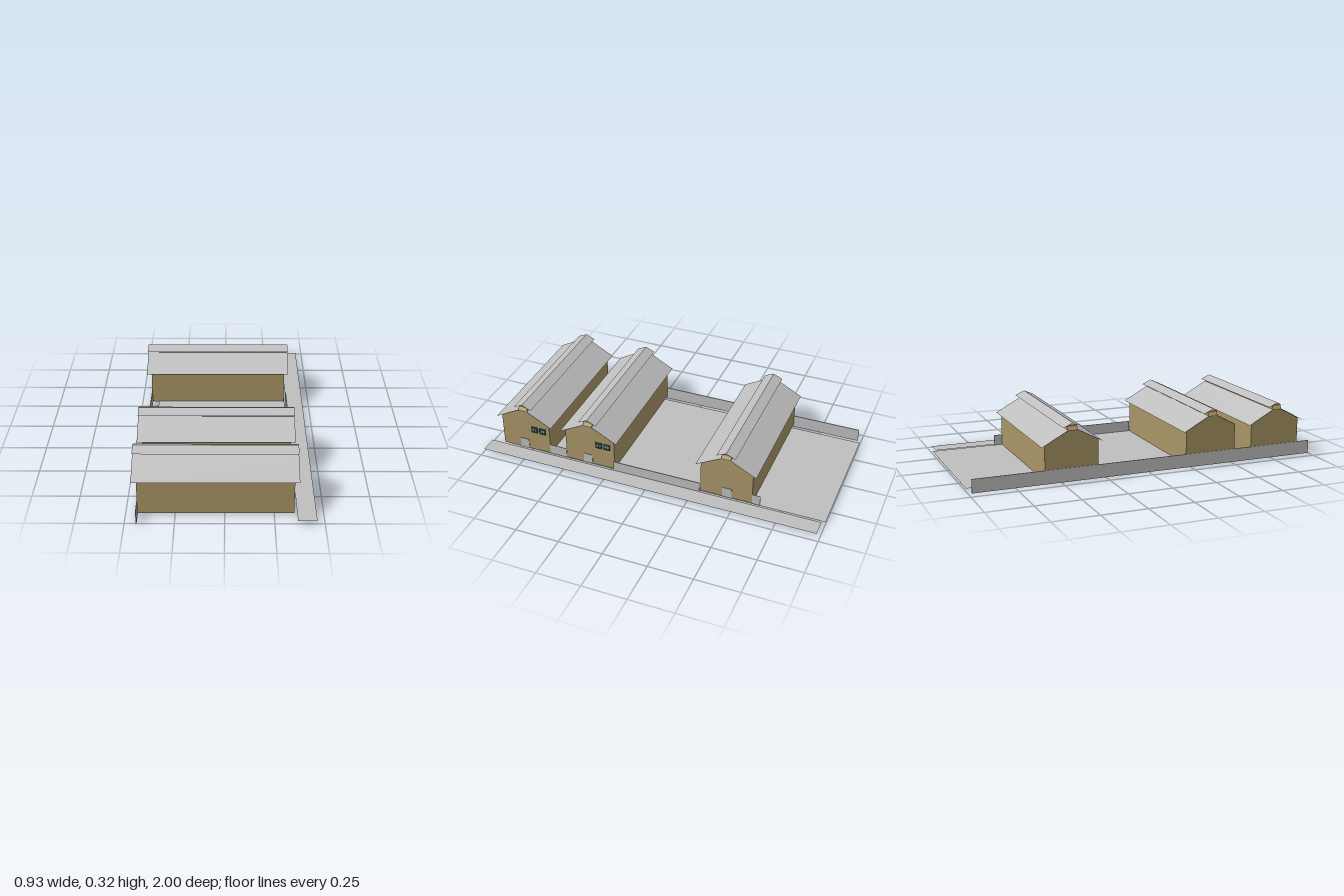
import * as THREE from 'three';

const mat = (name, color, opts = {}) => {
  const m = new THREE.MeshStandardMaterial({ color, ...opts });
  m.name = name;
  return m;
};

export function createModel() {
  const wallMat = mat('tan wall', 0xa89465);
  const greyMat = mat('light grey', 0xbebebe, { side: THREE.DoubleSide });
  const frameMat = mat('dark teal frame', 0x24504c);
  const paneMat = mat('window pane', 0x6f918b);

  const root = new THREE.Group();
  root.name = 'farmyard';

  const add = (parent, name, geo, material) => {
    const m = new THREE.Mesh(geo, material);
    m.name = name;
    parent.add(m);
    return m;
  };
  // box given by its min/max on each axis
  const box = (parent, name, material, x0, x1, y0, y1, z0, z1) => {
    const m = add(parent, name, new THREE.BoxGeometry(x1 - x0, y1 - y0, z1 - z0), material);
    m.position.set((x0 + x1) / 2, (y0 + y1) / 2, (z0 + z1) / 2);
    return m;
  };
  // flat horizontal sheet
  const sheet = (name, x0, x1, y, z0, z1) => {
    const m = add(root, name, new THREE.PlaneGeometry(x1 - x0, z1 - z0).rotateX(-Math.PI / 2), greyMat);
    m.position.set((x0 + x1) / 2, y, (z0 + z1) / 2);
  };
  // one sloping roof sheet, from (z0, y0) to (z1, y1), running along x
  const slope = (parent, name, x0, x1, z0, y0, z1, y1) => {
    const g = new THREE.BufferGeometry();
    g.setAttribute('position', new THREE.Float32BufferAttribute(
      [x0, y0, z0, x1, y0, z0, x1, y1, z1, x0, y1, z1], 3));
    g.setIndex(z0 > z1 ? [0, 1, 2, 0, 2, 3] : [0, 2, 1, 0, 3, 2]);
    g.computeVertexNormals();
    add(parent, name, g, greyMat);
  };
  const polygon = pts => new THREE.Shape(pts.map(p => new THREE.Vector2(...p)));

  const X0 = -0.44, X1 = 0.35, FLOOR = 0.013;
  const R0 = -0.465, R1 = 0.373;

  function barn(name, z, doorOffset, hasWindows) {
    const b = new THREE.Group();
    b.name = name;
    b.position.z = z;
    root.add(b);

    // gabled body
    const body = new THREE.ExtrudeGeometry(polygon([
      [-0.149, FLOOR], [0.149, FLOOR], [0.149, 0.216], [0.027, 0.281], [-0.027, 0.281], [-0.149, 0.216],
    ]), { depth: X1 - X0, bevelEnabled: false });
    body.rotateY(Math.PI / 2).translate(X0, 0, 0);
    add(b, 'walls', body, wallMat);

    // raised ridge vent with raked ends
    const vent = new THREE.ExtrudeGeometry(polygon([
      [-0.463, 0.281], [0.371, 0.281], [0.36, 0.299], [0.36, 0.308], [-0.452, 0.308], [-0.452, 0.299],
    ]), { depth: 0.054, bevelEnabled: false });
    vent.translate(0, 0, -0.027);
    add(b, 'ridgeVent', vent, wallMat);

    // main roof and vent cap
    for (const s of [1, -1]) {
      slope(b, 'roof', R0, R1, s * 0.172, 0.205, s * 0.027, 0.283);
      slope(b, 'ventCap', R0, R1, s * 0.053, 0.298, 0, 0.322);
    }

    box(b, 'door', greyMat, X1, X1 + 0.003, FLOOR, 0.075, doorOffset - 0.027, doorOffset + 0.027);

    // windows: pane with a surrounding frame and a centre bar
    if (hasWindows) for (const c of [-0.057, -0.107]) {
      const w = 0.0185, t = 0.006, y0 = 0.137, y1 = 0.172, x = X1 + 0.008;
      box(b, 'windowPane', paneMat, X1, X1 + 0.004, y0, y1, c - w + 0.001, c + w - 0.001);
      for (const y of [y0, y1 - t]) box(b, 'windowFrame', frameMat, X1, x, y, y + t, c - w, c + w);
      for (const o of [-w, w - t]) box(b, 'windowFrame', frameMat, X1, x, y0 + t, y1 - t, c + o, c + o + t);
      box(b, 'windowBar', frameMat, X1, x - 0.002, y0 + t, y1 - t, c - 0.0015, c + 0.0015);
    }
  }

  barn('frontBarn', 0.775, 0.013, true);
  barn('middleBarn', 0.373, 0.013, true);
  barn('backBarn', -0.44, -0.005, false);

  // yard and road
  sheet('yard', -0.4, 0.355, 0.016, -1, 0.7);
  sheet('road', 0.365, 0.462, 0.016, -0.98, 1);

  // boundary walls and gates
  box(root, 'leftWall', greyMat, -0.443, -0.438, 0, 0.075, -0.98, 1);
  box(root, 'rightWall', greyMat, 0.36, 0.365, 0, 0.075, -0.29, 0.224);
  box(root, 'backGate', greyMat, 0.35, 0.353, FLOOR, 0.075, -0.635, -0.589);
  box(root, 'frontGate', greyMat, 0.35, 0.353, FLOOR, 0.075, 0.522, 0.626);

  return root;
}
